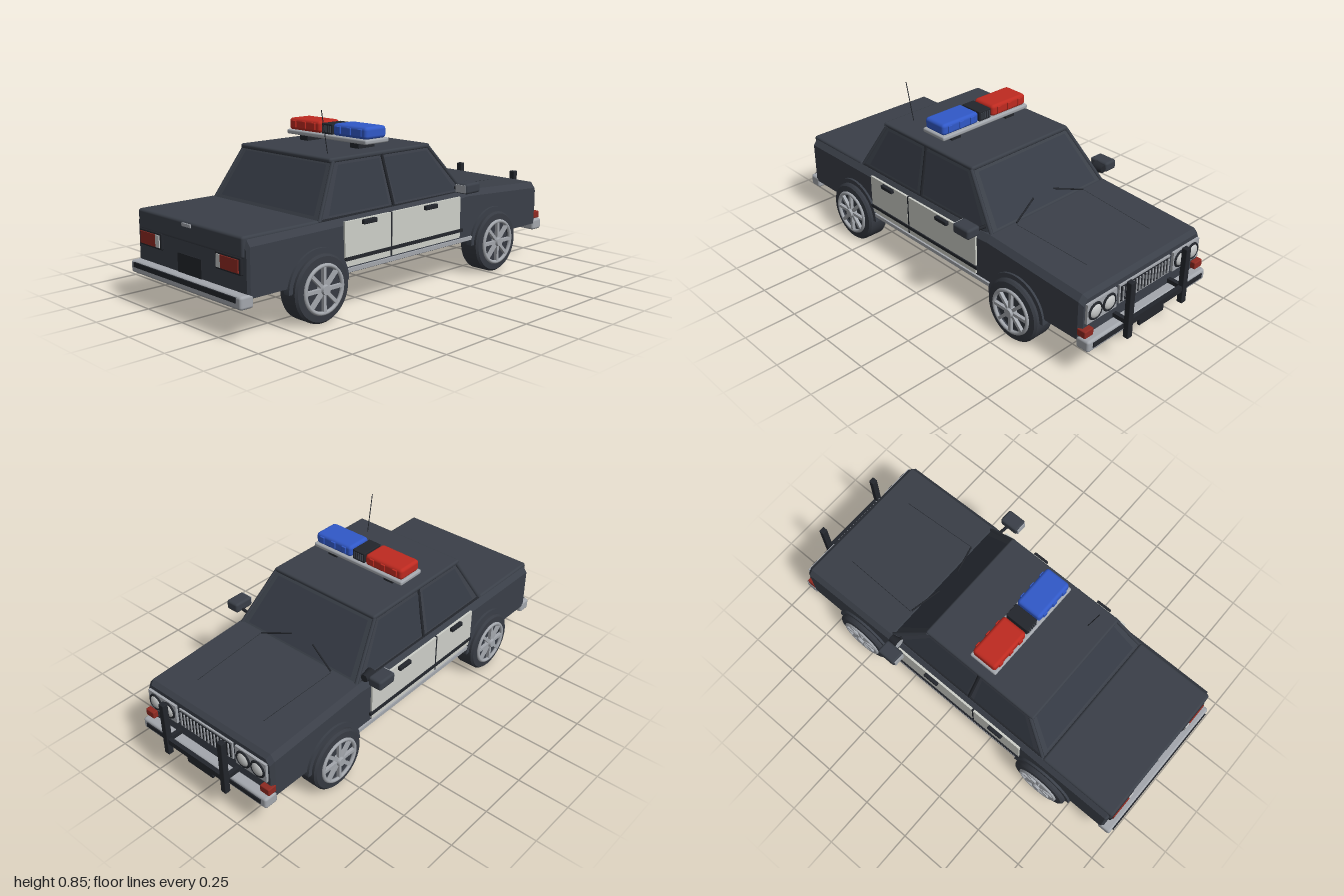
import * as THREE from 'three';
import { toCreasedNormals } from 'three/addons/utils/BufferGeometryUtils.js';
import { RoundedBoxGeometry } from 'three/addons/geometries/RoundedBoxGeometry.js';

const mat = (name, color) => {
  const m = new THREE.MeshStandardMaterial({ color });
  m.name = name;
  return m;
};
const V = (x, y, z) => new THREE.Vector3(x, y, z);

export function createModel() {
  const paint = mat('dark paint', 0x3a3f48);
  const glass = mat('tinted glass', 0x353a44);
  const rubber = mat('rubber', 0x363a42);
  const trim = mat('black trim', 0x23262c);
  const chrome = mat('chrome', 0xa3a7ad);
  const white = mat('white door paint', 0xcdcfc8);
  const red = mat('beacon red', 0xbe2a20);
  const blue = mat('beacon blue', 0x3159c8);
  const tailRed = mat('tail light red', 0x8e2a22);
  const lens = mat('clear lens', 0xc4c6c6);

  const car = new THREE.Group();
  car.name = 'patrolCar';

  const add = (name, geo, m, x = 0, y = 0, z = 0, parent = car) => {
    const mesh = new THREE.Mesh(geo, m);
    mesh.name = name;
    mesh.position.set(x, y, z);
    parent.add(mesh);
    return mesh;
  };
  // Box given by its limits on each axis, optionally rounded
  const box = (name, m, [x0, x1], [y0, y1], [z0, z1], r = 0) => {
    const w = Math.abs(x1 - x0), h = y1 - y0, d = z1 - z0;
    const geo = r ? new RoundedBoxGeometry(w, h, d, 2, r) : new THREE.BoxGeometry(w, h, d);
    return add(name, geo, m, (x0 + x1) / 2, (y0 + y1) / 2, (z0 + z1) / 2);
  };
  // Straight bar between two points
  const bar = (name, m, p, q, t, sides = 6) => {
    const mesh = add(name, new THREE.CylinderGeometry(t, t, p.distanceTo(q), sides), m);
    mesh.position.copy(p).lerp(q, 0.5);
    mesh.quaternion.setFromUnitVectors(V(0, 1, 0), q.clone().sub(p).normalize());
    return mesh;
  };
  // Flat-shaded skin over cross-sections ordered along +z
  const loft = (sections) => {
    const pos = [];
    const tri = (...ps) => ps.forEach((p) => pos.push(p.x, p.y, p.z));
    const n = sections[0].length, last = sections.length - 1;
    for (let i = 0; i < last; i++) {
      for (let j = 0; j < n; j++) {
        const k = (j + 1) % n, [s, e] = [sections[i], sections[i + 1]];
        tri(s[j], s[k], e[k]);
        tri(s[j], e[k], e[j]);
      }
    }
    for (let j = 1; j < n - 1; j++) {
      tri(sections[0][0], sections[0][j + 1], sections[0][j]);
      tri(sections[last][0], sections[last][j], sections[last][j + 1]);
    }
    const g = new THREE.BufferGeometry();
    g.setAttribute('position', new THREE.Float32BufferAttribute(pos, 3));
    g.computeVertexNormals();
    return g;
  };

  // Lower body: z, half width, top height
  const stations = [[-0.91, 0.375, 0.37], [-0.89, 0.386, 0.388], [-0.36, 0.386, 0.42],
    [-0.3, 0.386, 0.415], [0.94, 0.386, 0.408], [0.95, 0.375, 0.39]];
  add('body', loft(stations.map(([z, w, t]) => [
    V(-w, 0.175, z), V(w, 0.175, z), V(w, t - 0.028, z),
    V(w - 0.022, t, z), V(-w + 0.022, t, z), V(-w, t - 0.028, z),
  ])), paint);
  box('trunkLid', paint, [-0.365, 0.365], [0.33, 0.42], [0.56, 0.96], 0.012);
  box('trunkHandle', chrome, [-0.03, 0.03], [0.398, 0.412], [0.955, 0.966]);

  // Cabin: sloped on all four sides
  const B = (s, z) => V(s * 0.355, 0.41, z), T = (s, z) => V(s * 0.298, 0.64, z);
  const [bf, br, tf, tr] = [-0.36, 0.555, -0.17, 0.425];
  add('cabin', loft([
    [B(-1, bf), B(1, bf), T(1, tf), T(-1, tf)],
    [B(-1, br), B(1, br), T(1, tr), T(-1, tr)],
  ]), paint);
  box('roof', paint, [-0.303, 0.303], [0.633, 0.655], [-0.18, 0.445], 0.01);

  // Window pane on a cabin face; a-b is the bottom edge, d-c the top edge
  const pane = (name, [a, b, c, d], u0, u1, v0 = 0.07, v1 = 0.93) => {
    const at = (u, v) => a.clone().lerp(b, u).lerp(d.clone().lerp(c, u), v);
    const n = b.clone().sub(a).cross(d.clone().sub(a)).normalize().multiplyScalar(0.004);
    const [p, q, r, s] = [at(u0, v0), at(u1, v0), at(u1, v1), at(u0, v1)].map((w) => w.add(n));
    const g = new THREE.BufferGeometry().setFromPoints([p, q, r, p, r, s]);
    g.computeVertexNormals();
    add(name, g, glass);
  };
  pane('rearWindow', [B(-1, br), B(1, br), T(1, tr), T(-1, tr)], 0.05, 0.95);
  pane('windshield', [B(1, bf), B(-1, bf), T(-1, tf), T(1, tf)], 0.05, 0.95);
  const plusSide = [B(1, br), B(1, bf), T(1, tf), T(1, tr)];
  const minusSide = [B(-1, bf), B(-1, br), T(-1, tr), T(-1, tf)];
  pane('rearSideWindow', plusSide, 0.05, 0.45);
  pane('frontSideWindow', plusSide, 0.5, 0.95);
  pane('rearSideWindow', minusSide, 0.55, 0.95);
  pane('frontSideWindow', minusSide, 0.05, 0.5);

  // Sides: pillars, doors, mirrors
  for (const s of [-1, 1]) {
    bar('rearPillar', paint, B(s, br), T(s, tr), 0.009);
    bar('frontPillar', paint, B(s, bf), T(s, tf), 0.009);
    bar('middlePillar', trim, B(s, 0.115), T(s, 0.135), 0.008);
    bar('beltTrim', trim, B(s, bf), B(s, br), 0.008);
    const doors = [['frontDoor', -0.295, 0.163, -0.08], ['rearDoor', 0.173, 0.447, 0.31]];
    for (const [name, z0, z1, handle] of doors) {
      box(name, white, [s * 0.384, s * 0.395], [0.205, 0.4], [z0, z1]);
      box('doorHandle', trim, [s * 0.392, s * 0.412], [0.376, 0.396], [handle - 0.04, handle + 0.04], 0.004);
    }
    box('doorGap', trim, [s * 0.384, s * 0.394], [0.205, 0.4], [0.163, 0.173]);
    box('sideMolding', trim, [s * 0.39, s * 0.401], [0.232, 0.247], [-0.31, 0.447]);
    box('sill', chrome, [s * 0.38, s * 0.396], [0.18, 0.197], [-0.4, 0.44]);
    bar('mirrorArm', trim, V(s * 0.34, 0.436, -0.31), V(s * 0.42, 0.436, -0.3), 0.008);
    box('mirrorHousing', paint, [s * 0.405, s * 0.476], [0.428, 0.477], [-0.34, -0.24], 0.012);
    box('mirrorGlass', chrome, [s * 0.413, s * 0.468], [0.435, 0.47], [-0.242, -0.236]);

    // Hood creases and wipers
    bar('hoodCrease', trim, V(s * 0.205, 0.393, -0.77), V(s * 0.22, 0.417, -0.37), 0.003);
    bar('wiper', trim, V(s * 0.215, 0.424, -0.367), V(s * 0.065, 0.468, -0.32), 0.004);

    // Tail lights
    box('tailLightFrame', trim, [s * 0.188, s * 0.355], [0.262, 0.336], [0.94, 0.962], 0.006);
    box('tailLight', tailRed, [s * 0.228, s * 0.342], [0.272, 0.326], [0.96, 0.967]);
    box('reverseLight', lens, [s * 0.2, s * 0.228], [0.272, 0.326], [0.96, 0.967]);

    // Headlights and corner markers
    box('headlightPanel', chrome, [s * 0.185, s * 0.365], [0.255, 0.35], [-0.922, -0.9]);
    for (const x of [0.233, 0.318]) {
      const ring = add('headlightRing', new THREE.TorusGeometry(0.036, 0.006, 6, 20), trim, s * x, 0.303, -0.923);
      const lamp = add('headlight', new THREE.SphereGeometry(0.034, 18, 8, 0, Math.PI * 2, 0, Math.PI / 2), lens, s * x, 0.303, -0.92);
      lamp.rotation.x = -Math.PI / 2;
      lamp.scale.y = 0.5;
      ring.rotation.y = Math.PI;
    }
    box('cornerMarker', tailRed, [s * 0.335, s * 0.388], [0.2, 0.235], [-0.935, -0.89], 0.005);

    // Push bar uprights and struts
    box('pushBarUpright', trim, [s * 0.165, s * 0.195], [0.135, 0.41], [-1, -0.972], 0.004);
    box('pushBarStrut', trim, [s * 0.17, s * 0.19], [0.2, 0.22], [-0.98, -0.9]);
  }
  box('pushBarCrossbar', trim, [-0.18, 0.18], [0.195, 0.222], [-0.995, -0.975]);

  // Spotlight beside the windshield
  const spot = add('spotlight', new THREE.CylinderGeometry(0.028, 0.018, 0.05, 20), [trim, chrome, trim], -0.384, 0.455, -0.315);
  spot.rotation.x = Math.PI / 2;

  // Grille
  box('grilleFrame', chrome, [-0.165, 0.165], [0.258, 0.348], [-0.918, -0.9]);
  box('grilleBack', trim, [-0.157, 0.157], [0.266, 0.34], [-0.922, -0.91]);
  for (let i = 0; i < 15; i++) {
    const x = -0.147 + i * 0.021;
    box('grilleBar', chrome, [x - 0.003, x + 0.003], [0.268, 0.338], [-0.927, -0.918]);
  }

  // Bumpers and plates
  box('rearBumper', chrome, [-0.388, 0.388], [0.136, 0.192], [0.925, 0.992], 0.012);
  box('rearBumperStrip', trim, [-0.36, 0.36], [0.164, 0.186], [0.985, 0.997]);
  box('frontBumper', chrome, [-0.388, 0.388], [0.14, 0.195], [-0.955, -0.885], 0.012);
  box('frontBumperStrip', trim, [-0.36, 0.36], [0.16, 0.182], [-0.96, -0.945]);
  box('rearPlate', trim, [-0.083, 0.083], [0.192, 0.275], [0.945, 0.954]);
  box('frontPlate', trim, [-0.08, 0.08], [0.13, 0.192], [-0.968, -0.955]);

  // Wheels: axis along local y, turned outward on each side
  const tyreGeo = toCreasedNormals(new THREE.LatheGeometry([
    [0, -0.052], [0.142, -0.052], [0.147, -0.044], [0.147, 0.042], [0.138, 0.052],
    [0.108, 0.054], [0.102, 0.036], [0, 0.036],
  ].map(([r, y]) => new THREE.Vector2(r, y)), 40), 0.6);
  const rimGeo = new THREE.TorusGeometry(0.101, 0.009, 8, 36).rotateX(Math.PI / 2);
  for (const s of [-1, 1]) {
    for (const z of [-0.545, 0.592]) {
      const arch = add('wheelArch', new THREE.CylinderGeometry(0.166, 0.166, 0.03, 32, 1, false, 0, Math.PI), paint, s * 0.382, 0.15, z);
      arch.rotation.z = Math.PI / 2;
      const wheel = new THREE.Group();
      wheel.name = 'wheel';
      wheel.position.set(s * 0.367, 0.147, z);
      wheel.rotation.z = -s * Math.PI / 2;
      car.add(wheel);
      add('tyre', tyreGeo, rubber, 0, 0, 0, wheel);
      add('rim', rimGeo, chrome, 0, 0.055, 0, wheel);
      add('hub', new THREE.CylinderGeometry(0.02, 0.026, 0.034, 16), chrome, 0, 0.057, 0, wheel);
      for (let i = 0; i < 8; i++) {
        const a = (i * Math.PI) / 4;
        const spoke = add('spoke', new THREE.BoxGeometry(0.085, 0.016, 0.015), chrome, Math.cos(a) * 0.057, 0.054, -Math.sin(a) * 0.057, wheel);
        spoke.rotation.y = a;
      }
    }
  }

  // Roof light bar
  box('lightBarBase', chrome, [-0.265, 0.265], [0.68, 0.702], [0.052, 0.198], 0.008);
  for (const [s, m] of [[-1, red], [1, blue]]) {
    box('lightBarFoot', trim, [s * 0.143, s * 0.196], [0.65, 0.684], [0.075, 0.175]);
    box('beacon', m, [s * 0.043, s * 0.258], [0.7, 0.756], [0.06, 0.19], 0.016);
    for (const x of [0.085, 0.15, 0.218]) {
      box('beaconRib', m, [s * (x - 0.013), s * (x + 0.013)], [0.712, 0.746], [0.055, 0.195], 0.003);
    }
  }
  box('siren', trim, [-0.035, 0.035], [0.7, 0.75], [0.065, 0.185], 0.004);
  for (let i = -2; i <= 2; i++) {
    box('sirenSlat', paint, [i * 0.012 - 0.003, i * 0.012 + 0.003], [0.71, 0.742], [0.061, 0.189]);
  }

  // Antenna
  bar('antenna', trim, V(0.19, 0.65, 0.355), V(0.196, 0.845, 0.395), 0.002);
  return car;
}
